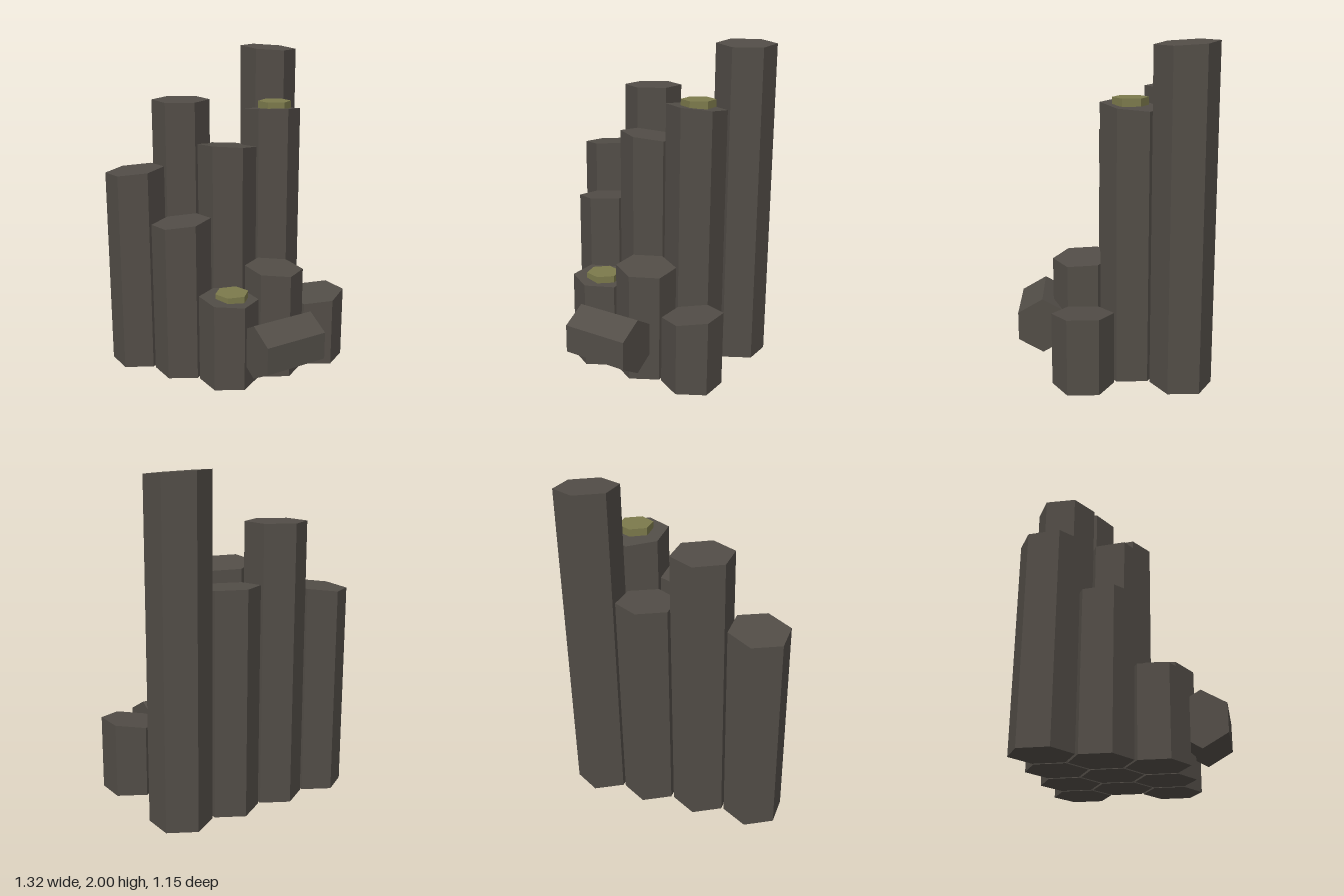
import * as THREE from 'three';

const RADIUS = 0.183;

// Upright six-sided column whose top slopes by (slopeX, slopeZ) about its centre
function columnGeometry(height, slopeX, slopeZ) {
  const geo = new THREE.CylinderGeometry(RADIUS, RADIUS, height, 6);
  geo.translate(0, height / 2, 0);
  const p = geo.attributes.position;
  for (let i = 0; i < p.count; i++) {
    if (p.getY(i) > height / 2) {
      p.setY(i, height + slopeX * p.getX(i) + slopeZ * p.getZ(i));
    }
  }
  geo.computeVertexNormals();
  return geo;
}

export function createModel() {
  const group = new THREE.Group();
  const stone = new THREE.MeshStandardMaterial({ color: 0x524d47, flatShading: true });
  stone.name = 'basaltGrey';
  const lichen = new THREE.MeshStandardMaterial({ color: 0x7c7a4c, flatShading: true });
  lichen.name = 'lichenOlive';

  const add = (name, geo, mat, x, y, z) => {
    const mesh = new THREE.Mesh(geo, mat);
    mesh.name = name;
    mesh.position.set(x, y, z);
    group.add(mesh);
    return mesh;
  };

  // Columns in three staggered rows: [x, height, slopeX, slopeZ]
  const rows = [
    { name: 'backColumn', z: -0.395, columns: [
      [-0.5, 1.277, 0.08, 0.06], [-0.167, 1.69, 0, 0],
      [0.167, 1.34, 0, -0.06], [0.5, 1.988, -0.04, -0.06]] },
    { name: 'middleColumn', z: -0.107, columns: [
      [-0.333, 0.985, 0.08, 0.08], [0, 1.425, -0.11, 0.08], [0.333, 1.63, -0.057, 0.1]] },
    { name: 'frontColumn', z: 0.181, columns: [
      [-0.167, 0.542, -0.06, -0.03], [0.167, 0.678, -0.06, -0.05], [0.5, 0.44, 0.13, 0]] },
  ];
  for (const row of rows) {
    row.columns.forEach(([x, h, sx, sz], i) =>
      add(row.name + (i + 1), columnGeometry(h, sx, sz), stone, x, 0, row.z));
  }

  // Fallen column piece lying along x, with an edge pointing up
  const fallen = new THREE.CylinderGeometry(0.172, 0.172, 0.42, 6);
  fallen.rotateY(Math.PI / 6).rotateZ(Math.PI / 2);
  add('fallenColumn', fallen, stone, 0.065, 0.27, 0.428);

  // Lichen slabs on two of the column tops: [x, centre y, z, turn]
  [[0.35, 1.656, -0.097, 0.02], [-0.15, 0.555, 0.19, 0.26]].forEach(([x, y, z, turn], i) => {
    const slab = add('lichenPatch' + (i + 1),
      new THREE.CylinderGeometry(0.105, 0.105, 0.045, 6), lichen, x, y, z);
    slab.rotation.y = turn;
  });

  return group;
}
